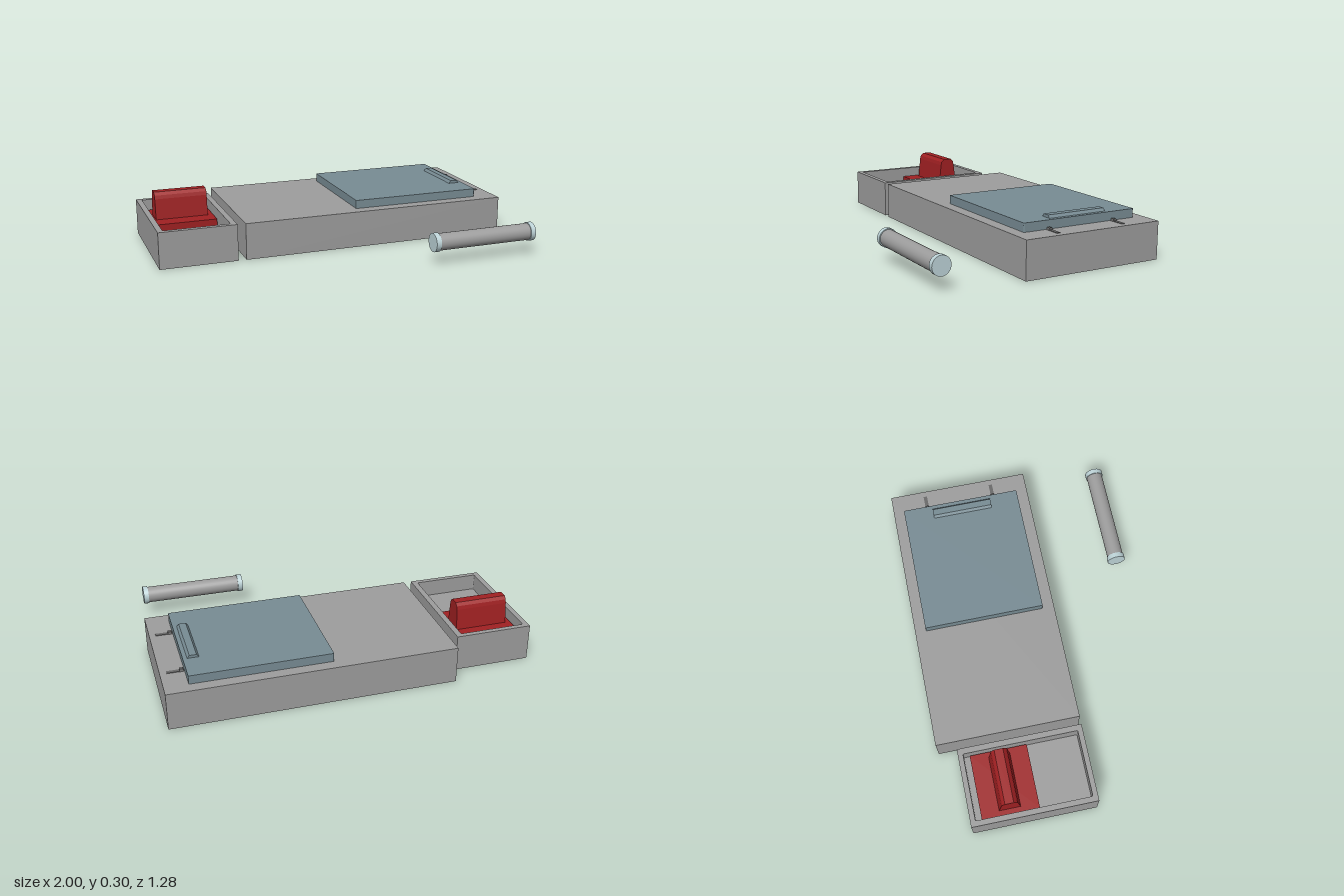
import * as THREE from 'three';

const mat = (color) => new THREE.MeshStandardMaterial({ color });
const grey = mat(0x9d9d9d), steel = mat(0x788c94), pale = mat(0xbdd3d7), red = mat(0xa02022), dark = mat(0x6a6a6a);

function add(parent, name, geometry, material) {
  const mesh = new THREE.Mesh(geometry, material);
  mesh.name = name;
  parent.add(mesh);
  return mesh;
}

// Box from its minimum and maximum corners
function block(x0, x1, y0, y1, z0, z1) {
  return new THREE.BoxGeometry(x1 - x0, y1 - y0, z1 - z0)
    .translate((x0 + x1) / 2, (y0 + y1) / 2, (z0 + z1) / 2);
}

// Rectangle with small rounded corners, drawn in plan (x, -z)
function roundedRect(Type, x0, x1, z0, z1, r) {
  const s = new Type(), a = -z1, b = -z0;
  s.absarc(x1 - r, b - r, r, 0, Math.PI / 2);
  s.absarc(x0 + r, b - r, r, Math.PI / 2, Math.PI);
  s.absarc(x0 + r, a + r, r, Math.PI, Math.PI * 1.5);
  s.absarc(x1 - r, a + r, r, Math.PI * 1.5, Math.PI * 2);
  s.closePath();
  return s;
}

// Raises a plan shape from y0 to y1
function raise(shape, y0, y1) {
  return new THREE.ExtrudeGeometry(shape, { depth: y1 - y0, bevelEnabled: false, curveSegments: 3 })
    .rotateX(-Math.PI / 2).translate(0, y0, 0);
}

// Extrudes a (z, y) profile along x from x0 to x1
function alongX(points, x0, x1) {
  const shape = new THREE.Shape(points.map(([z, y]) => new THREE.Vector2(-z, y)));
  return new THREE.ExtrudeGeometry(shape, { depth: x1 - x0, bevelEnabled: false })
    .rotateY(Math.PI / 2).translate(x0, 0, 0);
}

// Extrudes an (x, y) profile along z, centred on z
function alongZ(points, z, width) {
  const shape = new THREE.Shape(points.map(([x, y]) => new THREE.Vector2(x, y)));
  return new THREE.ExtrudeGeometry(shape, { depth: width, bevelEnabled: false })
    .translate(0, 0, z - width / 2);
}

export function createModel() {
  const model = new THREE.Group();
  model.name = 'compartmentAndSwitchSet';

  // Main block with its raised lid
  add(model, 'mainBlock', block(-0.53, 1, 0, 0.203, -0.638, 0.159), grey);
  const lid = new THREE.Group();
  lid.name = 'lid';
  model.add(lid);
  add(lid, 'lidPanel', raise(roundedRect(THREE.Shape, 0.129, 0.875, -0.576, 0.093, 0.006), 0.203, 0.25), steel);
  add(lid, 'lidGrip', alongZ([[0.792, 0.25], [0.853, 0.25], [0.841, 0.265], [0.804, 0.265]], -0.24, 0.34), steel);

  // Small latches beside the lid: a flat strip with a tapered catch
  for (const z of [-0.439, -0.047]) {
    const latch = new THREE.Group();
    latch.name = 'latch';
    model.add(latch);
    add(latch, 'latchStrip', block(0.87, 0.966, 0.2, 0.206, z - 0.01, z + 0.01), dark);
    add(latch, 'latchCatch', alongX([
      [z + 0.012, 0.203], [z + 0.008, 0.216], [z - 0.008, 0.216], [z - 0.012, 0.203],
    ], 0.88, 0.9), dark);
  }

  // Open tray: walls around a sunken floor
  const tray = new THREE.Group();
  tray.name = 'switchTray';
  model.add(tray);
  const rim = new THREE.Shape([[-1, -0.158], [-0.574, -0.158], [-0.574, 0.53], [-1, 0.53]]
    .map(([x, y]) => new THREE.Vector2(x, y)));
  rim.holes.push(roundedRect(THREE.Path, -0.97, -0.606, -0.502, 0.13, 0.006));
  add(tray, 'trayWalls', raise(rim, 0, 0.203), grey);
  add(tray, 'trayFloor', block(-0.985, -0.59, 0, 0.11, -0.516, 0.144), grey);

  // Red switch: base plate and tapered handle
  add(tray, 'switchPlate', block(-0.964, -0.611, 0.11, 0.15, -0.469, -0.154), red);
  add(tray, 'switchHandle', alongX([
    [-0.253, 0.15], [-0.265, 0.265], [-0.27, 0.285], [-0.288, 0.301],
    [-0.335, 0.301], [-0.35, 0.285], [-0.355, 0.265], [-0.37, 0.15],
  ], -0.935, -0.641), red);

  // Loose cylinder with end caps
  const cell = new THREE.Group();
  cell.name = 'cell';
  cell.position.set(0.662, 0.127, 0.587);
  cell.rotation.z = Math.PI / 2;
  model.add(cell);
  add(cell, 'cellBody', new THREE.CylinderGeometry(0.046, 0.046, 0.56, 32), grey);
  for (const side of [-1, 1]) {
    add(cell, 'cellCap', new THREE.CylinderGeometry(0.051, 0.051, 0.028, 32), pale).position.y = side * 0.283;
  }
  return model;
}
